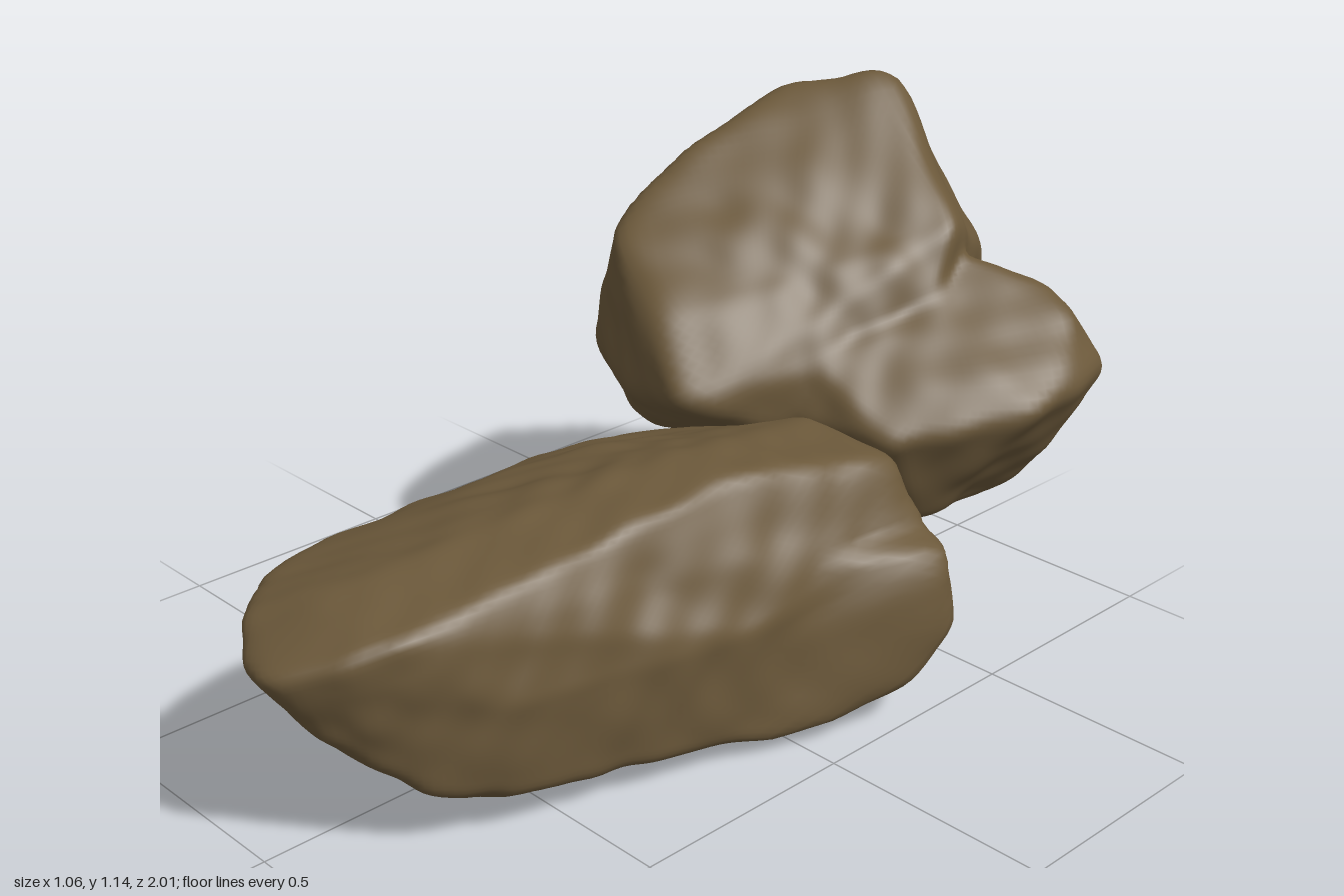
import * as THREE from 'three';
import { mergeVertices } from 'three/addons/utils/BufferGeometryUtils.js';
import { ConvexGeometry } from 'three/addons/geometries/ConvexGeometry.js';

// Facet planes of the hull around a few corner points
function hullPlanes(corners, centre) {
  const pos = new ConvexGeometry(corners.map((c) => new THREE.Vector3(...c))).attributes.position;
  const planes = [];
  const [a, b, c] = [0, 1, 2].map(() => new THREE.Vector3());
  for (let i = 0; i < pos.count; i += 3) {
    [a, b, c].forEach((v, k) => v.fromBufferAttribute(pos, i + k).sub(centre));
    const n = new THREE.Plane().setFromCoplanarPoints(a, b, c).normal;
    const d = n.dot(a);
    if (d > 1e-4) planes.push({ n, d });
  }
  return planes;
}

// Distance from the centre to the hull along a direction
function reach(planes, dir) {
  let t = Infinity;
  for (const { n, d } of planes) {
    const k = n.dot(dir);
    if (k > 1e-6) t = Math.min(t, d / k);
  }
  return t;
}

// Gentle lumps, pits and creases for the weathered surface
function weather({ x, y, z }) {
  const wx = x + 0.06 * Math.sin(9 * y + 4 * z), wy = y + 0.06 * Math.sin(8 * z + 5 * x);
  const wz = z + 0.06 * Math.sin(10 * x + 3 * y);
  const lumps = Math.sin(13 * wx + 5 * wz) * Math.sin(15 * wy - 4 * wx) * Math.sin(12 * wz + 2);
  const fine = Math.sin(31 * wx + 9 * wy) * Math.sin(28 * wy + 11 * wz) * Math.sin(30 * wz);
  const crease = 0.6 - Math.abs(Math.sin(11 * wx + 8 * wy + 4 * wz));
  return 0.007 * lumps + 0.006 * fine + 0.003 * crease;
}

// Sample directions used to round the facet edges
const soften = [new THREE.Vector3()];
for (let i = 0; i < 16; i++) {
  const h = 1 - (2 * i + 1) / 16, a = i * 2.39996, r = Math.sqrt(1 - h * h);
  soften.push(new THREE.Vector3(r * Math.cos(a), h, r * Math.sin(a)).multiplyScalar(0.06));
}

// A rounded boulder: the union of hulls as seen from one centre
function boulder(name, material, centre, stretch, hulls) {
  const c = new THREE.Vector3(...centre), s = new THREE.Vector3(...stretch);
  const sets = hulls.map((h) => hullPlanes(h, c));
  let geo = new THREE.IcosahedronGeometry(1, 34);
  geo.deleteAttribute('uv');
  geo.deleteAttribute('normal');
  geo = mergeVertices(geo, 1e-4);
  const pos = geo.attributes.position;
  const v = new THREE.Vector3(), dir = new THREE.Vector3();
  for (let i = 0; i < pos.count; i++) {
    v.fromBufferAttribute(pos, i);
    let sum = 0;
    for (const o of soften) {
      dir.copy(v).add(o).normalize().multiply(s);
      sum += Math.max(...sets.map((planes) => reach(planes, dir)));
    }
    dir.copy(v).multiply(s);
    v.copy(dir).multiplyScalar(sum / soften.length).add(c);
    v.addScaledVector(dir.normalize(), weather(v) - 0.004);
    pos.setXYZ(i, v.x, v.y, v.z);
  }
  geo.computeVertexNormals();
  const mesh = new THREE.Mesh(geo, material);
  mesh.name = name;
  return mesh;
}

export function createModel() {
  const group = new THREE.Group();
  group.name = 'rocks';
  const stone = new THREE.MeshStandardMaterial({ color: 0x6b583a });
  stone.name = 'brownStone';

  // Long, low boulder tapering to an overhanging front tip
  const lowBody = [
    [0.06, 0.41, 1.025], [-0.05, 0.4, 1.0], [-0.13, 0.45, 0.94], [0.15, 0.44, 0.94], [0.1, 0.29, 0.94],
    [-0.24, 0.45, 0.81], [0.21, 0.48, 0.83], [0, 0.5, 0.84], [0.21, 0.13, 0.76], [0.05, 0.13, 0.78],
    [-0.2, 0.3, 0.72], [-0.1, 0.15, 0.66],
    [-0.285, 0.44, 0.6], [0, 0.52, 0.6], [0.23, 0.51, 0.6], [0.28, 0.3, 0.64], [0.27, 0.09, 0.6],
    [0.15, 0.01, 0.56], [-0.03, 0.015, 0.52], [-0.15, 0.04, 0.42], [-0.28, 0.27, 0.5], [-0.27, 0.08, 0.2],
    [-0.3, 0.43, 0.1], [-0.1, 0.53, 0.1], [0.13, 0.59, 0.1], [0.28, 0.58, 0.05], [0.4, 0.3, 0.12],
    [0.4, 0.05, 0.05], [0.25, 0, 0.1], [0, 0.015, 0.15], [-0.29, 0.15, 0.02],
    [-0.26, 0.42, -0.2], [0.15, 0.55, -0.32], [0.37, 0.53, -0.32], [0.44, 0.4, -0.35],
    [0.4, 0.1, -0.3], [0.05, 0.3, -0.38], [-0.15, 0.17, -0.25],
  ];
  const lowBase = [
    [0.5, 0.385, -0.32], [0.46, 0.39, -0.2], [0.54, 0.34, -0.3], [0.55, 0.2, -0.3], [0.51, 0.08, -0.22],
    [0.44, 0.025, 0], [0.4, 0.33, -0.41], [0.36, 0.13, -0.47], [0.05, 0.15, -0.44], [0.1, 0.3, -0.4],
    [-0.375, 0.27, -0.15], [-0.335, 0.35, -0.2], [-0.335, 0.2, -0.1], [-0.25, 0.26, -0.35],
    [0.1, 0.02, 0.15], [-0.1, 0.15, 0.4], [0.1, 0.4, 0.4], [0.2, 0.1, 0.5],
  ];
  group.add(boulder('lowBoulder', stone, [0.05, 0.28, 0.2], [0.4, 0.3, 0.72], [lowBody, lowBase]));

  // Tall, leaning boulder
  const tallBody = [
    [-0.115, 1.165, -0.815], [-0.28, 1.13, -0.63], [-0.3, 1.06, -0.44], [-0.33, 0.92, -0.2],
    [-0.29, 0.88, -0.14], [-0.08, 0.74, -0.07], [0.03, 0.6, -0.03], [-0.15, 0.58, -0.05], [-0.41, 0.6, -0.18],
    [-0.54, 0.5, -0.45], [-0.5, 0.41, -0.42], [-0.42, 0.38, -0.31], [-0.3, 0.4, -0.24], [-0.4, 0.75, -0.76],
    [-0.51, 0.45, -0.92], [-0.49, 0.31, -0.89], [-0.48, 0.28, -0.76], [-0.37, 0.275, -0.78],
    [-0.49, 0.33, -0.6], [-0.39, 0.31, -0.45],
    [-0.29, 0.46, -1.02], [-0.26, 0.6, -0.98], [0.1, 0.31, -0.88],
    [0.2, 0.885, -0.68], [0.24, 0.68, -0.55], [0.07, 0.54, -0.24], [0.2, 0.4, -0.5], [-0.13, 0.85, -0.91],
    [0.12, 0.76, -0.89],
  ];
  // Broad shoulder carrying the sloping face out to the side
  const shoulder = [
    [0.52, 0.6, -0.72], [0.51, 0.59, -0.6], [0.43, 0.72, -0.8], [0.33, 0.77, -0.82], [0.2, 0.82, -0.72],
    [0.43, 0.45, -0.75], [0.48, 0.6, -0.88], [0.26, 0.56, -0.95], [0.02, 0.5, -0.95], [0.28, 0.31, -0.9],
    [0.3, 0.285, -0.8], [0.3, 0.3, -0.45], [0.48, 0.57, -0.55], [0.33, 0.53, -0.33], [0.25, 0.71, -0.52],
    [0.1, 0.68, -0.3], [0.08, 0.54, -0.25], [0.1, 0.31, -0.42], [-0.2, 0.4, -0.8], [-0.2, 0.6, -0.9],
    [-0.2, 0.6, -0.4], [-0.2, 0.75, -0.7],
  ];
  group.add(boulder('tallBoulder', stone, [-0.06, 0.6, -0.6], [0.5, 0.45, 0.47], [tallBody, shoulder]));
  return group;
}
